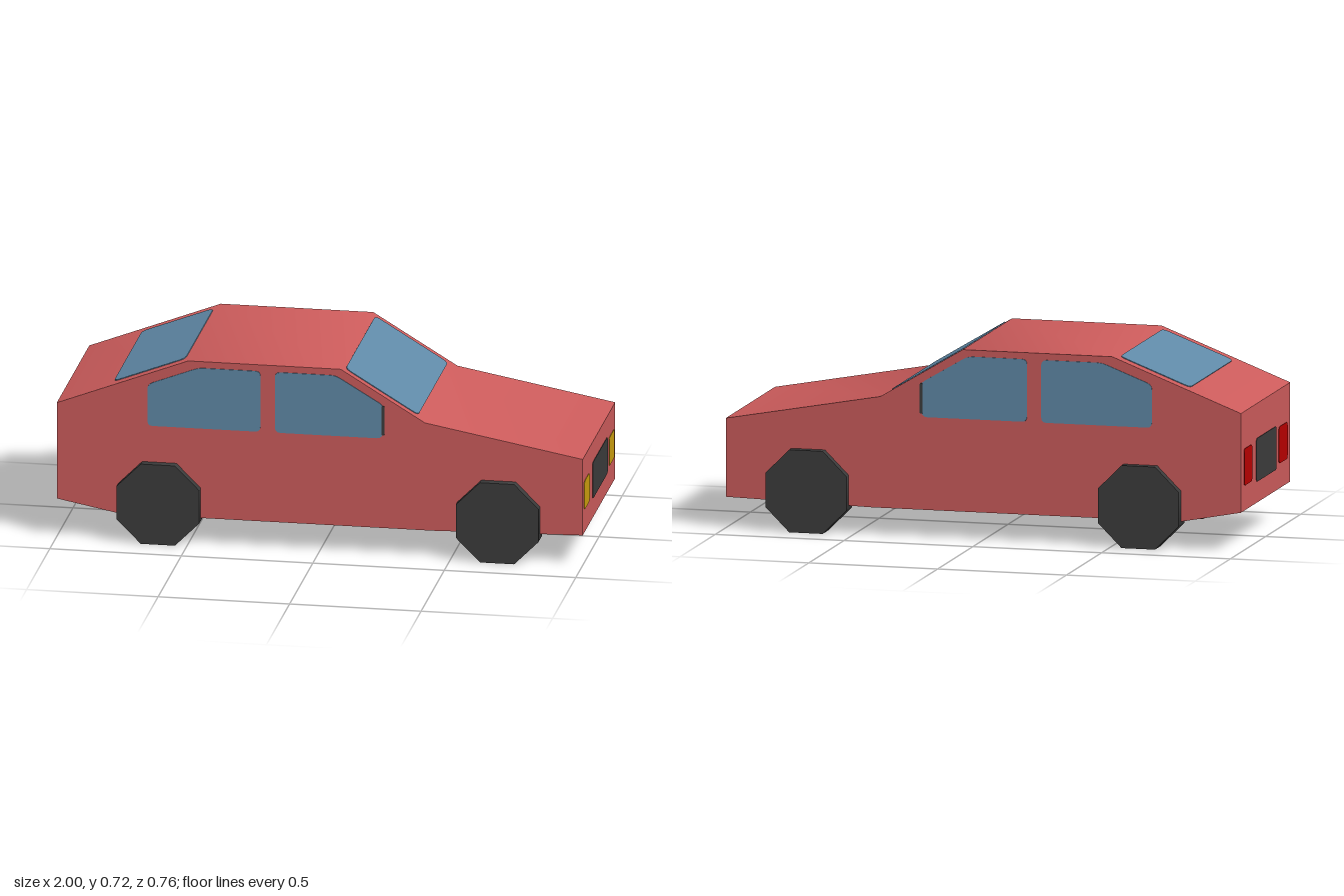
import * as THREE from 'three';
import { toCreasedNormals } from 'three/addons/utils/BufferGeometryUtils.js';

const mat = (name, color, side = THREE.FrontSide) => {
  const m = new THREE.MeshStandardMaterial({ color, side });
  m.name = name;
  return m;
};

export function createModel() {
  const car = new THREE.Group();
  car.name = 'car';
  const paint = mat('paint', 0xcd5c5c);
  const dark = mat('darkTrim', 0x3c3c3c);
  const glass = mat('glass', 0x608aa8);
  const yellow = mat('headlightYellow', 0xcc9e0e);
  const red = mat('tailLightRed', 0xb80000);
  const HALF = 0.35, THIN = 0.003;

  const add = (name, geometry, material, parent = car) => {
    const m = new THREE.Mesh(geometry, material);
    m.name = name;
    parent.add(m);
    return m;
  };

  // Polygon with slightly softened corners
  const softShape = (pts, r) => {
    const s = new THREE.Shape();
    const v = pts.map(p => new THREE.Vector2(...p));
    v.forEach((p, i) => {
      const toward = q => p.clone().add(q.clone().sub(p).setLength(r));
      const a = toward(v[(i + v.length - 1) % v.length]);
      const b = toward(v[(i + 1) % v.length]);
      if (i) s.lineTo(a.x, a.y); else s.moveTo(a.x, a.y);
      s.quadraticCurveTo(p.x, p.y, b.x, b.y);
    });
    s.closePath();
    return s;
  };
  const plate = (pts, r = 0.02) => new THREE.ExtrudeGeometry(softShape(pts, r),
    { depth: THIN, bevelEnabled: false, curveSegments: 3 });
  const rect = (x0, x1, y0, y1) => [[x0, y0], [x1, y0], [x1, y1], [x0, y1]];

  // Body: side profile extruded across the width, with a dark underside
  const profile = [[-1, 0.15], [-0.76, 0.104], [0.43, 0.104], [1, 0.118], [1, 0.417],
    [0.4, 0.527], [0.08, 0.72], [-0.5, 0.72], [-1, 0.527]];
  const shape = new THREE.Shape(profile.map(p => new THREE.Vector2(...p)));
  let body = new THREE.ExtrudeGeometry(shape, { depth: 2 * HALF, bevelEnabled: false });
  body.translate(0, 0, -HALF);
  const normal = body.attributes.normal;
  const under = [];
  for (let i = 0; i < normal.count; i += 3) under.push(normal.getY(i) < -0.5 ? 1 : 0);
  body = toCreasedNormals(body, 0.7);
  body.clearGroups();
  under.forEach((m, i) => body.addGroup(i * 3, 3, m));
  add('body', body, [paint, dark]);

  // Side windows, mirrored on both sides
  const rearPane = [[-0.655, 0.457], [-0.225, 0.457], [-0.225, 0.695], [-0.46, 0.695], [-0.655, 0.62]];
  const frontPane = [[-0.17, 0.457], [0.238, 0.457], [0.245, 0.585], [0.06, 0.695], [-0.17, 0.695]];
  const seal = rect(0.236, 0.246, 0.47, 0.585);
  for (const side of [1, -1]) {
    const z = side > 0 ? HALF : -HALF - THIN;
    const label = side > 0 ? 'Left' : 'Right';
    add('rearSideWindow' + label, plate(rearPane), glass).position.z = z;
    add('frontSideWindow' + label, plate(frontPane), glass).position.z = z;
    add('windowSeal' + label, plate(seal, 0.003), dark).position.z = z + side * 0.001;
  }

  // Sloped panes: a = lower and b = upper point on the profile line
  const slopedPane = (name, a, b, halfWidth) => {
    const A = new THREE.Vector3(a[0], a[1], 0), B = new THREE.Vector3(b[0], b[1], 0);
    const len = A.distanceTo(B);
    const up = B.clone().sub(A).normalize();
    const across = new THREE.Vector3(0, 0, a[0] > b[0] ? -1 : 1);
    const out = across.clone().cross(up);
    const m = add(name, plate(rect(-halfWidth, halfWidth, 0, len), 0.025), glass);
    m.quaternion.setFromRotationMatrix(new THREE.Matrix4().makeBasis(across, up, out));
    m.position.copy(A);
  };
  slopedPane('windshield', [0.368, 0.546], [0.092, 0.713], 0.32);
  slopedPane('rearWindow', [-0.79, 0.608], [-0.518, 0.713], 0.305);

  // Lights and dark panels on the nose and tail; z0..z1 across, y0..y1 up
  const endPlate = (name, end, z0, z1, y0, y1, material) => {
    const pts = end > 0 ? rect(-z1, -z0, y0, y1) : rect(z0, z1, y0, y1);
    const m = add(name, plate(pts, 0.016), material);
    m.rotation.y = end * Math.PI / 2;
    m.position.x = end * 0.999;
  };
  endPlate('grille', 1, -0.18, 0.143, 0.194, 0.337, dark);
  endPlate('headlightLeft', 1, 0.209, 0.322, 0.209, 0.321, yellow);
  endPlate('headlightRight', 1, -0.326, -0.212, 0.209, 0.321, yellow);
  endPlate('rearPanel', -1, -0.135, 0.15, 0.23, 0.395, dark);
  endPlate('tailLightLeft', -1, 0.185, 0.308, 0.245, 0.385, red);
  endPlate('tailLightRight', -1, -0.31, -0.195, 0.245, 0.385, red);

  // Eight-sided wheels resting on the ground
  const apothem = 0.157;
  const wheel = new THREE.CylinderGeometry(apothem / Math.cos(Math.PI / 8),
    apothem / Math.cos(Math.PI / 8), 0.083, 8);
  wheel.rotateY(Math.PI / 8).rotateX(Math.PI / 2);
  for (const [end, x] of [['rear', -0.61], ['front', 0.68]])
    for (const side of [1, -1])
      add(end + 'Wheel' + (side > 0 ? 'Left' : 'Right'), wheel, dark)
        .position.set(x, apothem, side * 0.341);

  return car;
}
